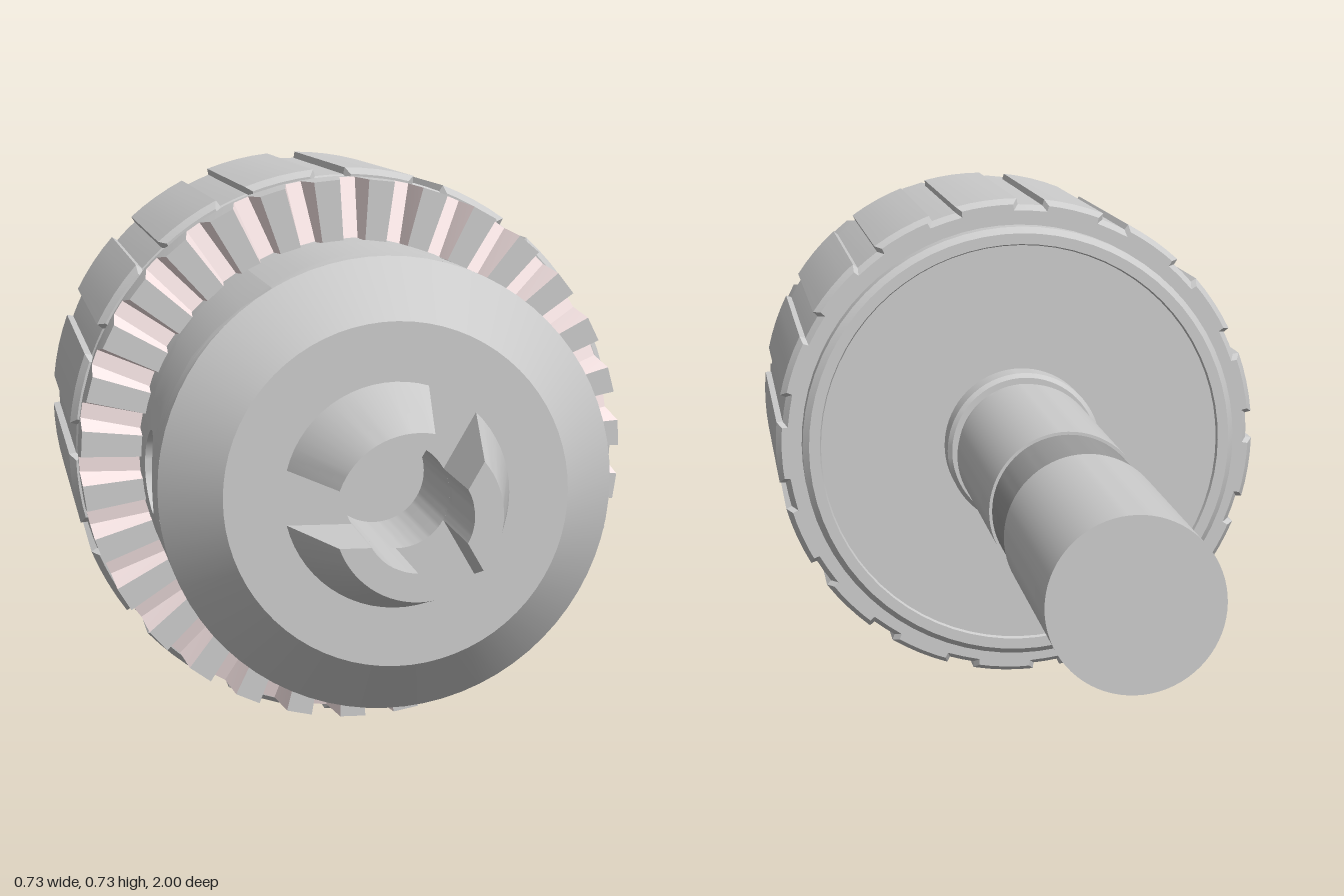
import * as THREE from 'three';
import { toCreasedNormals } from 'three/addons/utils/BufferGeometryUtils.js';

const TAU = Math.PI * 2;
const grey = new THREE.MeshStandardMaterial({ color: 0xcccccc });
const dark = new THREE.MeshStandardMaterial({ color: 0x9c9c9c });
const pale = new THREE.MeshStandardMaterial({ color: 0xffecec });

function part(name, geometry, material = grey) {
  const mesh = new THREE.Mesh(toCreasedNormals(geometry, 0.5), material);
  mesh.name = name;
  return mesh;
}

// Turned part: profile of [radius, z] from back to front
function turned(name, profile, material, segments = 72) {
  const g = new THREE.LatheGeometry(profile.map(([r, z]) => new THREE.Vector2(r, z)), segments);
  return part(name, g.rotateX(Math.PI / 2), material);
}

// Collects quads given as four corners, counter-clockwise from outside
function quads() {
  const pos = [];
  return {
    add(a, b, c, d) { pos.push(...a, ...b, ...c, ...a, ...c, ...d); },
    geometry() {
      const g = new THREE.BufferGeometry();
      g.setAttribute('position', new THREE.Float32BufferAttribute(pos, 3));
      g.computeVertexNormals();
      return g;
    },
  };
}

const polar = (r, a, z) => [r * Math.cos(a), r * Math.sin(a), z];

// Sleeve with 17 wide ribs and shallow grooves between them
function sleeve() {
  const shape = new THREE.Shape();
  const count = 17, step = TAU / count, rib = step * 0.69;
  for (let i = 0; i < count; i++) {
    const a = Math.PI / 2 - rib + i * step;
    for (let j = 0; j <= 4; j++) {
      const [x, y] = polar(0.363, a + rib * j / 4, 0);
      if (i + j) shape.lineTo(x, y); else shape.moveTo(x, y);
    }
    for (let j = 0; j <= 2; j++) {
      const [x, y] = polar(0.354, a + rib + (step - rib) * (0.04 + 0.46 * j), 0);
      shape.lineTo(x, y);
    }
  }
  const g = new THREE.ExtrudeGeometry(shape, {
    depth: 0.466, bevelEnabled: true, bevelThickness: 0.012,
    bevelSize: 0.008, bevelOffset: -0.008, bevelSegments: 1,
  });
  return part('sleeve', g.translate(0, 0, 0.002));
}

// Crown gear: flat-topped teeth with tapered radial notches
function crownGear() {
  const group = new THREE.Group();
  group.name = 'crownGear';
  const teeth = quads(), notches = quads();
  const count = 31, step = TAU / count, ri = 0.272, ro = 0.352, top = 0.55, base = 0.47;
  const floorZ = r => r === ri ? 0.515 : 0.49;
  for (let i = 0; i < count; i++) {
    const c = Math.PI / 2 + i * step;
    // section across one notch and the following tooth
    const section = r => {
      const f = 0.010 / r, t = (r === ri ? 0.014 : 0.019) / r, z = floorZ(r);
      return [[c - t, top], [c - f, z], [c + f, z], [c + t, top], [c + step - t, top]]
        .map(([a, h]) => [a, h]);
    };
    const a = section(ri), b = section(ro);
    for (let k = 0; k < 4; k++) {
      (k < 3 ? notches : teeth).add(
        polar(ri, ...a[k]), polar(ro, ...b[k]), polar(ro, ...b[k + 1]), polar(ri, ...a[k + 1]));
      teeth.add(
        polar(ro, b[k][0], base), polar(ro, b[k + 1][0], base),
        polar(ro, ...b[k + 1]), polar(ro, ...b[k]));
    }
  }
  group.add(part('gearTeeth', teeth.geometry()), part('gearNotches', notches.geometry(), pale));
  return group;
}

// A third of the nose wall, with a round key hole in its middle
function noseWall(angle) {
  const q = quads(), R = 0.275, hole = 0.052, zc = 0.66, N = 48, T = 6, floor = 0.15;
  const bend = (u, z) => polar(R, angle + u / R, z);
  const wall = (i, j) => {
    const a = i / N * TAU, c = Math.cos(a), s = Math.sin(a);
    const m = Math.max(Math.abs(c), Math.abs(s)), t = j / T;
    const u = THREE.MathUtils.lerp(hole * c, c / m * R * Math.PI / 3, t);
    const v = THREE.MathUtils.lerp(hole * s, s / m * (s > 0 ? 0.13 : 0.17), t);
    return bend(u, zc + v);
  };
  const deep = (i, k) => {
    const a = i / N * TAU, u = k * R * Math.sin(hole * Math.cos(a) / R);
    const ca = Math.cos(angle), sa = Math.sin(angle);
    return [floor * ca - u * sa, floor * sa + u * ca, zc + k * hole * Math.sin(a)];
  };
  for (let i = 0; i < N; i++) {
    for (let j = 0; j < T; j++) q.add(wall(i, j), wall(i, j + 1), wall(i + 1, j + 1), wall(i + 1, j));
    q.add(wall(i, 0), wall(i + 1, 0), deep(i + 1, 1), deep(i, 1));
    q.add(deep(i, 0), deep(i, 1), deep(i + 1, 1), deep(i + 1, 0.001));
  }
  return part('noseWall', q.geometry());
}

// Jaw: ring sector with parallel-sided slots beside it, tapering to the tip
function jaw(angle) {
  const slot = 0.0325, inner = 0.063, outer = 0.137, tip = 0.096, depth = 0.15, n = 16;
  const half = r => Math.PI / 3 - Math.asin(slot / r);
  const pts = [];
  for (let i = 0; i <= n; i++) pts.push([outer, half(outer) * (2 * i / n - 1)]);
  for (let i = 0; i <= n; i++) pts.push([inner, half(inner) * (1 - 2 * i / n)]);
  const shape = new THREE.Shape(pts.map(([r, a]) => new THREE.Vector2(r * Math.cos(a), r * Math.sin(a))));
  const g = new THREE.ExtrudeGeometry(shape, { depth, bevelEnabled: false });
  const p = g.attributes.position;
  for (let i = 0; i < p.count; i++) {
    const x = p.getX(i), y = p.getY(i);
    if (p.getZ(i) > depth / 2 && Math.hypot(x, y) > 0.1) {
      const a = Math.atan2(y, x) / half(outer) * half(tip);
      p.setXY(i, tip * Math.cos(a), tip * Math.sin(a));
    }
  }
  g.computeVertexNormals();
  return part('jaw', g.rotateZ(angle).translate(0, 0, 0.85));
}

export function createModel() {
  const model = new THREE.Group();
  model.name = 'drillChuck';
  const chuck = new THREE.Group();
  chuck.name = 'chuck';
  chuck.position.y = 0.363;
  model.add(chuck);

  // Shank, its relieved band and the collar
  chuck.add(
    turned('shank', [[0, -1], [0.104, -1], [0.104, -0.65], [0.09, -0.65]]),
    turned('shankBand', [[0.1, -0.65], [0.1, -0.5]], dark),
    turned('shankFront', [[0.09, -0.5], [0.104, -0.5], [0.104, -0.125], [0.099, -0.12],
      [0.099, -0.092], [0.108, -0.092], [0.114, -0.085], [0.114, -0.03]]),
    turned('backPlate', [[0, -0.042], [0.298, -0.042], [0.3, -0.048], [0.316, -0.048],
      [0.325, -0.038], [0.325, 0]]),
    sleeve(),
    crownGear(),
    // Chamfered nose with the central bore
    turned('nose', [[0.275, 0.79], [0.205, 0.86], [0.063, 0.86], [0.063, 0.7], [0, 0.7]]),
  );

  // Jaws and key holes alternate around the axis
  for (let i = 0; i < 3; i++) {
    const a = i * TAU / 3;
    chuck.add(jaw(a), noseWall(a + Math.PI / 3));
  }
  return model;
}
